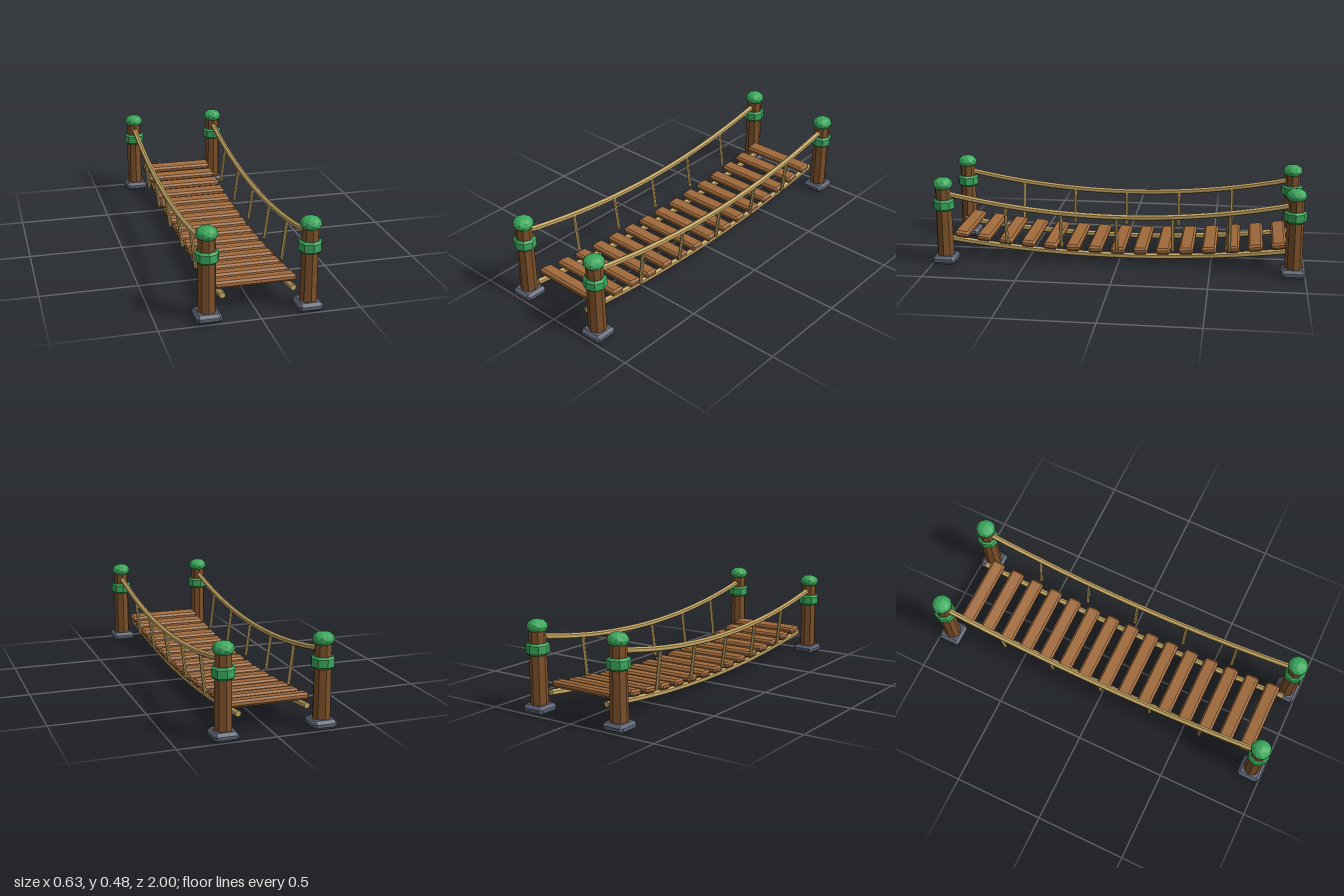
import * as THREE from 'three';
import { ConvexGeometry } from 'three/addons/geometries/ConvexGeometry.js';

const mat = (name, color) => new THREE.MeshStandardMaterial({ name, color, flatShading: true });

// Box with all edges and corners cut by c
function chamferBox(w, h, d, c) {
  const x = w / 2, y = h / 2, z = d / 2, pts = [];
  for (const i of [-1, 1]) for (const j of [-1, 1]) for (const k of [-1, 1]) {
    pts.push(
      new THREE.Vector3(i * x, j * (y - c), k * (z - c)),
      new THREE.Vector3(i * (x - c), j * y, k * (z - c)),
      new THREE.Vector3(i * (x - c), j * (y - c), k * z));
  }
  return new ConvexGeometry(pts);
}

// Six-sided rope along z, lifted by the sag rule
function ropeGeometry(radius, length, heightAt) {
  const g = new THREE.CylinderGeometry(radius, radius, length, 6, 20);
  g.rotateX(Math.PI / 2);
  const p = g.attributes.position;
  for (let i = 0; i < p.count; i++) p.setY(i, p.getY(i) + heightAt(p.getZ(i)));
  g.computeVertexNormals();
  return g;
}

export function createModel() {
  const model = new THREE.Group();
  model.name = 'ropeBridge';
  const postWood = mat('dark wood', 0x7c5029);
  const plankWood = mat('plank wood', 0xa06a3b);
  const rope = mat('rope', 0xc4a664);
  const green = mat('green', 0x3aa85c);
  const stone = mat('stone', 0x5c6272);

  const add = (parent, name, geometry, material, x = 0, y = 0, z = 0) => {
    const m = new THREE.Mesh(geometry, material);
    m.name = name;
    m.position.set(x, y, z);
    parent.add(m);
    return m;
  };

  const railY = z => 0.288 + 0.116 * z * z;
  const lowerY = z => 0.05 + 0.073 * z * z;
  const plankY = z => 0.083 + 0.08 * z * z;

  // Shared corner post geometries
  const baseGeo = chamferBox(0.127, 0.046, 0.127, 0.015);
  const shaftGeo = new THREE.CylinderGeometry(0.0425, 0.046, 0.385, 8);
  const bandGeo = new THREE.LatheGeometry([
    [0.038, -0.03], [0.049, -0.03], [0.059, -0.02], [0.059, 0.02], [0.049, 0.03], [0.038, 0.03],
  ].map(([r, y]) => new THREE.Vector2(r, y)), 8);
  const capGeo = new THREE.IcosahedronGeometry(0.0545, 1).scale(1, 0.7, 1);

  // Corner posts
  for (const sx of [-1, 1]) for (const sz of [-1, 1]) {
    const post = new THREE.Group();
    post.name = `${sz > 0 ? 'front' : 'back'}${sx > 0 ? 'Left' : 'Right'}Post`;
    post.position.set(sx * 0.252, 0, sz * 0.9365);
    add(post, 'stoneBase', baseGeo, stone, 0, 0.023);
    add(post, 'shaft', shaftGeo, postWood, 0, 0.2325);
    add(post, 'band', bandGeo, green, 0, 0.328);
    add(post, 'cap', capGeo, green, 0, 0.44);
    model.add(post);
  }

  // Handrails, hangers and lower ropes
  const railGeo = ropeGeometry(0.0155, 1.86, railY);
  const lowerGeo = ropeGeometry(0.0165, 1.872, lowerY);
  for (const s of [-1, 1]) {
    const side = s > 0 ? 'left' : 'right';
    add(model, `${side}Handrail`, railGeo, rope, s * 0.252);
    add(model, `${side}LowerRope`, lowerGeo, rope, s * 0.176);
    for (const z of [-0.6, -0.3, 0, 0.3, 0.6]) {
      const top = new THREE.Vector3(s * 0.25, railY(z), z);
      const bottom = new THREE.Vector3(s * 0.225, 0.1 + 0.036 * z * z, z);
      const dir = top.clone().sub(bottom);
      const mid = top.clone().add(bottom).multiplyScalar(0.5);
      const hanger = add(model, `${side}Hanger`,
        new THREE.CylinderGeometry(0.0095, 0.0095, dir.length(), 6), rope, mid.x, mid.y, mid.z);
      hanger.quaternion.setFromUnitVectors(new THREE.Vector3(0, 1, 0), dir.normalize());
    }
  }

  // Planks, tilted to follow the sag
  const plankGeo = chamferBox(0.415, 0.036, 0.079, 0.011);
  for (let i = -7; i <= 7; i++) {
    const z = i * 0.123;
    const plank = add(model, 'plank', plankGeo, plankWood, 0, plankY(z), z);
    plank.rotation.x = -Math.atan(0.16 * z);
  }
  return model;
}
